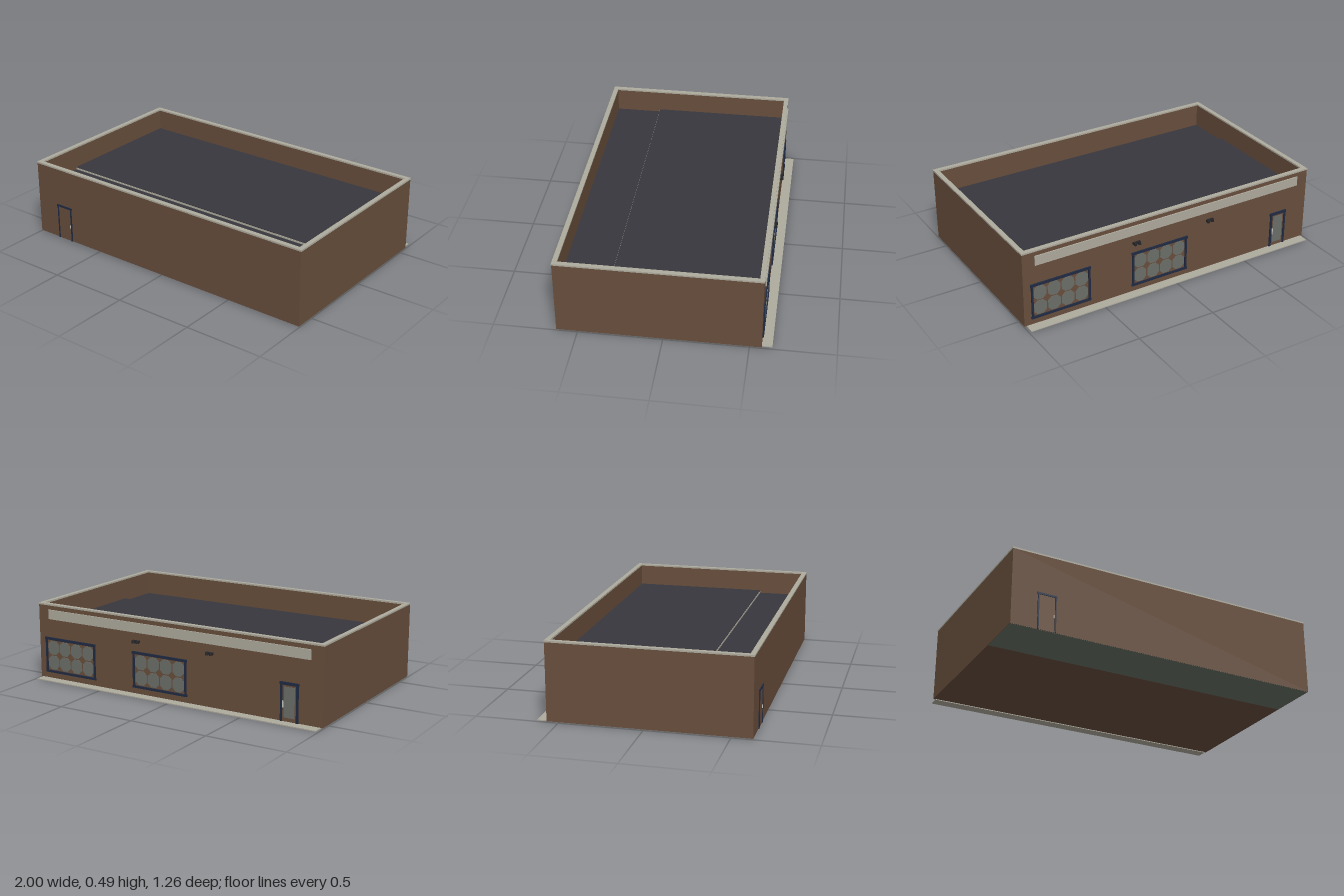
import * as THREE from 'three';

const mat = (name, color, side = THREE.FrontSide) => {
  const m = new THREE.MeshStandardMaterial({ color, side });
  m.name = name;
  return m;
};

export function createModel() {
  const brown = mat('brown wall', 0x684e3c);
  const stone = mat('pale stone', 0xaeaa9d);
  const roofing = mat('dark roofing', 0x38373d);
  const concrete = mat('green grey concrete', 0x667064);
  const navy = mat('navy frame', 0x1f2a42);
  const glass = mat('grey glass', 0x6c6e68);
  const black = mat('black metal', 0x26262a);
  const silver = mat('silver handle', 0xc8c8c4);

  const model = new THREE.Group();
  model.name = 'flatRoofShop';
  const X = 1, Z0 = -0.572, Z1 = 0.627, BASE = 0.006, TOP = 0.486;

  const add = (parent, name, geo, material) => {
    const m = new THREE.Mesh(geo, material);
    m.name = name;
    parent.add(m);
    return m;
  };
  // Box given by its limits on each axis
  const box = (parent, name, material, x0, x1, y0, y1, z0, z1) => {
    const m = add(parent, name, new THREE.BoxGeometry(x1 - x0, y1 - y0, z1 - z0), material);
    m.position.set((x0 + x1) / 2, (y0 + y1) / 2, (z0 + z1) / 2);
    return m;
  };
  // Rectangular ring standing between two heights
  const rect = (T, x, za, zb) => new T([[-x, -zb], [x, -zb], [x, -za], [-x, -za]].map(p => new THREE.Vector2(...p)));
  const ring = (name, material, inset, thick, y0, y1) => {
    const s = rect(THREE.Shape, X - inset, Z0 + inset, Z1 - inset);
    s.holes.push(rect(THREE.Path, X - thick, Z0 + thick, Z1 - thick));
    const g = new THREE.ExtrudeGeometry(s, { depth: y1 - y0, bevelEnabled: false });
    g.rotateX(-Math.PI / 2);
    add(model, name, g, material).position.y = y0;
  };

  // Shell, coping and roof in two levels
  ring('outerWalls', brown, 0.002, 0.028, BASE, 0.477);
  ring('parapetCoping', stone, 0, 0.029, 0.476, TOP);
  const IN = X - 0.027, SPLIT = 0.308;
  box(model, 'mainRoof', roofing, -IN, IN, 0.32, 0.345, Z0 + 0.027, SPLIT);
  box(model, 'lowerRoof', roofing, -IN, IN, 0.31, 0.328, SPLIT, Z1 - 0.027);
  box(model, 'roofStepTrim', stone, -IN, IN, 0.329, 0.341, SPLIT, SPLIT + 0.002);
  box(model, 'mainFloor', brown, -IN, IN, BASE, 0.012, Z0 + 0.027, SPLIT);
  box(model, 'rearRoomFloor', concrete, -X + 0.004, X - 0.004, BASE - 0.001, 0.012, SPLIT, Z1 - 0.004);
  box(model, 'pavement', stone, -0.985, 0.985, 0.001, 0.007, -0.631, Z0 + 0.01);

  // Sign band on the street side
  box(model, 'blankSignBand', stone, -0.92, 0.92, 0.39, 0.45, Z0 - 0.006, Z0 + 0.004);

  // Frame of four bars, around an opening facing the given side
  const frame = (parent, x0, x1, y0, y1, za, zb, t) => {
    box(parent, 'leftJamb', navy, x1 - t, x1, y0, y1, za, zb);
    box(parent, 'rightJamb', navy, x0, x0 + t, y0, y1, za, zb);
    box(parent, 'head', navy, x0 - 0.004, x1 + 0.004, y1 - t, y1 + 0.004, za, zb);
  };

  // Shop windows: four by two rounded panes
  for (const x0 of [0.567, -0.1]) {
    const win = new THREE.Group();
    win.name = 'shopWindow';
    model.add(win);
    const w = 0.383, y0 = 0.048, y1 = 0.268, za = Z0 - 0.006, zb = Z0 + 0.004;
    frame(win, x0, x0 + w, y0, y1, za, zb, 0.012);
    box(win, 'sill', navy, x0 - 0.004, x0 + w + 0.004, y0 - 0.004, y0 + 0.01, za, zb);
    const cw = (w - 0.024) / 4, ch = (y1 - y0 - 0.026) / 2;
    for (let i = 0; i < 4; i++) for (let j = 0; j < 2; j++) {
      const a = cw / 2 - 0.004, b = ch / 2 - 0.004, c = 0.022;
      const s = new THREE.Shape([[-a + c, -b], [a - c, -b], [a, -b + c], [a, b - c],
        [a - c, b], [-a + c, b], [-a, b - c], [-a, -b + c]].map(p => new THREE.Vector2(...p)));
      const g = new THREE.ExtrudeGeometry(s, { depth: 0.003, bevelEnabled: false });
      add(win, 'pane', g, glass).position.set(x0 + 0.012 + cw * (i + 0.5), y0 + 0.012 + ch * (j + 0.5), Z0 - 0.001);
    }
  }

  // Glazed street door
  const shopDoor = new THREE.Group();
  shopDoor.name = 'shopDoor';
  model.add(shopDoor);
  frame(shopDoor, -0.845, -0.73, 0.006, 0.236, Z0 - 0.006, Z0 + 0.004, 0.013);
  box(shopDoor, 'doorLeaf', brown, -0.832, -0.743, 0.007, 0.223, Z0 - 0.001, Z0 + 0.004);
  box(shopDoor, 'doorGlass', glass, -0.822, -0.753, 0.03, 0.212, Z0 - 0.003, Z0);
  box(shopDoor, 'handle', silver, -0.751, -0.746, 0.09, 0.13, Z0 - 0.008, Z0);

  // Solid door on the other side
  const plainDoor = new THREE.Group();
  plainDoor.name = 'plainDoor';
  model.add(plainDoor);
  frame(plainDoor, -0.838, -0.724, 0.006, 0.232, Z1 - 0.005, Z1 + 0.004, 0.008);
  box(plainDoor, 'doorLeaf', brown, -0.83, -0.732, 0.006, 0.224, Z1 - 0.005, Z1);
  box(plainDoor, 'handle', silver, -0.739, -0.735, 0.095, 0.115, Z1 - 0.004, Z1 + 0.004);

  // Twin wall lamps
  for (const x of [0.255, -0.262]) {
    const lamp = new THREE.Group();
    lamp.name = 'wallLamp';
    model.add(lamp);
    box(lamp, 'lampBracket', black, x - 0.024, x + 0.024, 0.328, 0.342, Z0 - 0.012, Z0 + 0.004);
    for (const s of [-1, 1]) {
      const g = new THREE.CylinderGeometry(0.009, 0.01, 0.018, 12);
      add(lamp, 'lampHead', g, black).position.set(x + s * 0.014, 0.334, Z0 - 0.013);
    }
  }
  return model;
}
